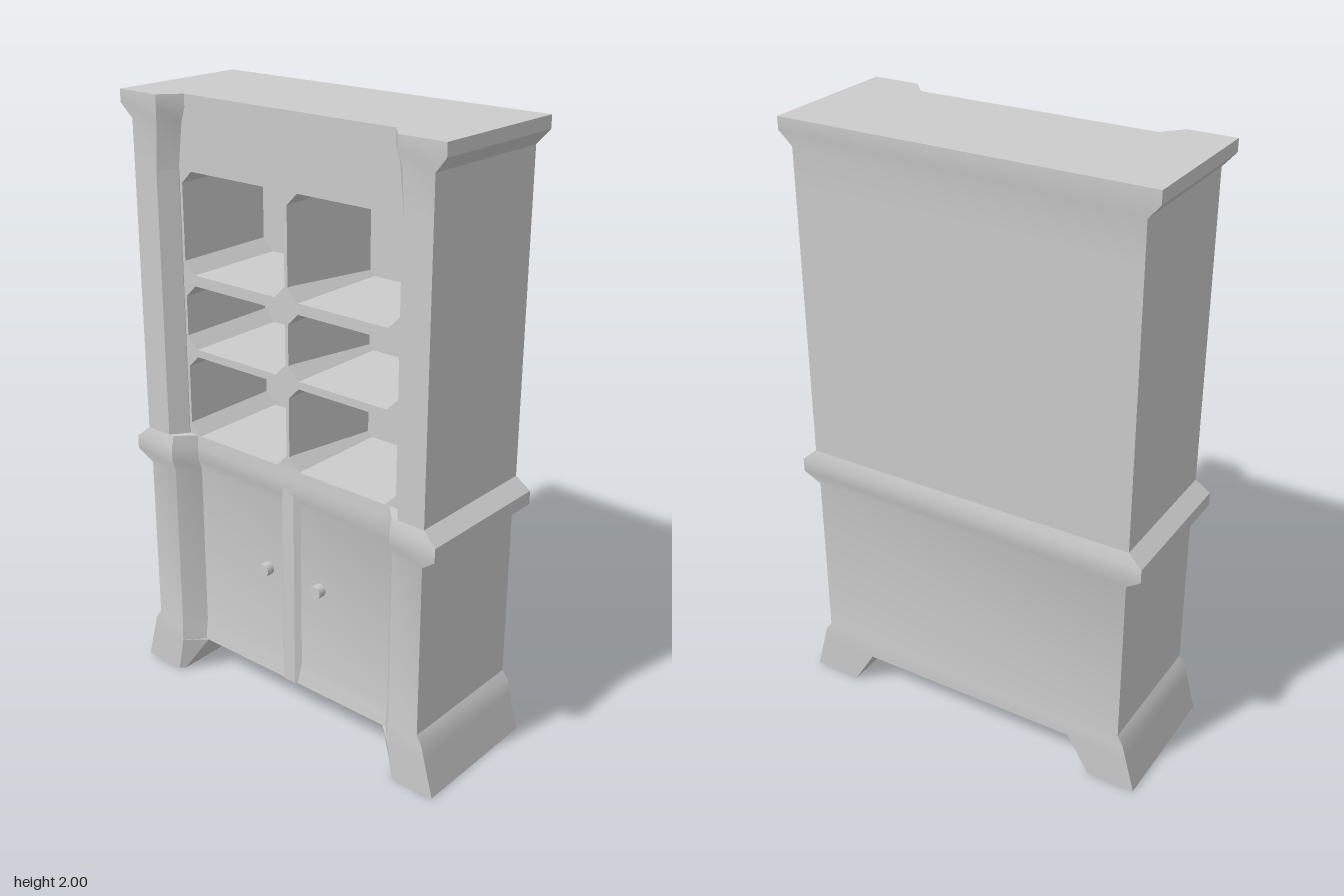
import * as THREE from 'three';
import { toCreasedNormals } from 'three/addons/utils/BufferGeometryUtils.js';

const material = new THREE.MeshStandardMaterial({ color: 0xcccccc });

function addPart(group, name, geometry) {
  const mesh = new THREE.Mesh(geometry, material);
  mesh.name = name;
  group.add(mesh);
  return mesh;
}

// Solid through plan outlines ([x, z] points) stacked at rising heights
function loft(levels) {
  const pos = [];
  const put = (y, p) => pos.push(p[0], y, p[1]);
  for (let k = 0; k < levels.length - 1; k++) {
    const { y: y0, plan: lo } = levels[k], { y: y1, plan: hi } = levels[k + 1];
    for (let i = 0; i < lo.length; i++) {
      const j = (i + 1) % lo.length;
      put(y0, lo[i]); put(y1, hi[i]); put(y1, hi[j]);
      put(y0, lo[i]); put(y1, hi[j]); put(y0, lo[j]);
    }
  }
  for (const [level, up] of [[levels[0], false], [levels.at(-1), true]]) {
    const pts = level.plan.map(p => new THREE.Vector2(...p));
    for (const [a, b, c] of THREE.ShapeUtils.triangulateShape(pts, [])) {
      const cross = pts[b].clone().sub(pts[a]).cross(pts[c].clone().sub(pts[a]));
      const order = (cross < 0) === up ? [a, b, c] : [a, c, b];
      order.forEach(i => put(level.y, level.plan[i]));
    }
  }
  const geo = new THREE.BufferGeometry();
  geo.setAttribute('position', new THREE.Float32BufferAttribute(pos, 3));
  return toCreasedNormals(geo, 0.5);
}

const mirror = plan => plan.map(([x, z]) => [-x, z]).reverse();

// Full-width outline: w half width, d half depth, a/b recess edges, f recess front
const bodyPlan = (w, d, a, b, f) => {
  const half = [[w, -d], [w, d], [a, d], [b, f]];
  return [...half, ...mirror(half)];
};

// Left part and its mirrored right twin
function addPair(group, name, levels) {
  addPart(group, name + 'Left', loft(levels));
  addPart(group, name + 'Right', loft(levels.map(({ y, plan }) => ({ y, plan: mirror(plan) }))));
}

export function createModel() {
  const group = new THREE.Group();

  // Flared side feet with an arch between them
  const footPlan = (w, a, b, f) => [[w, -0.235], [w, 0.235], [a, 0.235], [b, f], [b, -0.235]];
  addPair(group, 'foot', [
    { y: 0, plan: footPlan(0.625, 0.475, 0.46, 0.22) },
    { y: 0.125, plan: footPlan(0.592, 0.45, 0.385, 0.175) },
  ]);

  // Lower cupboard with waist moulding
  const lower = [
    [0.125, 0.592, 0.235, 0.175], [0.17, 0.58, 0.235, 0.17], [0.2, 0.56, 0.232, 0.166],
    [0.775, 0.56, 0.232, 0.166], [0.815, 0.612, 0.245, 0.18],
    [0.86, 0.612, 0.245, 0.18], [0.9, 0.565, 0.235, 0.178],
  ];
  addPart(group, 'lowerCupboard', loft(lower.map(([y, w, d, f]) =>
    ({ y, plan: bodyPlan(w, d, 0.45, 0.395, f) }))));

  // Raised stile between the two doors
  const stile = [[0.04, 0.15], [0.04, 0.166], [0.022, 0.18]];
  const stilePlan = [...stile, ...mirror(stile)];
  addPart(group, 'doorStile', loft([0.125, 0.83].map(y => ({ y, plan: stilePlan }))));

  // Door knobs
  for (const x of [-0.1, 0.12]) {
    const knob = addPart(group, 'doorKnob', new THREE.CylinderGeometry(0.022, 0.022, 0.04, 16));
    knob.rotation.x = Math.PI / 2;
    knob.position.set(x, 0.51, 0.175);
  }

  // Upper side posts
  const post = [[0.565, -0.235], [0.565, 0.235], [0.47, 0.235], [0.43, 0.18], [0.43, -0.235]];
  addPair(group, 'sidePost', [0.9, 1.77].map(y => ({ y, plan: post })));

  // Back panel
  addPart(group, 'backPanel', new THREE.BoxGeometry(0.88, 0.89, 0.055))
    .position.set(0, 1.335, -0.2075);

  // Shelf grid with six chamfered openings
  const grid = new THREE.Shape([[-0.44, 0.89], [0.44, 0.89], [0.44, 1.78], [-0.44, 1.78]]
    .map(p => new THREE.Vector2(...p)));
  const c = 0.04, x0 = 0.006, x1 = 0.42;
  const rows = [[0.9, 1.175], [1.2, 1.41], [1.445, 1.77]];
  for (const [y0, y1] of rows) {
    for (const s of [1, -1]) {
      grid.holes.push(new THREE.Path([
        [x0 + c, y0], [x1 - c, y0], [x1, y0 + c], [x1, y1 - c],
        [x1 - c, y1], [x0 + c, y1], [x0, y1 - c], [x0, y0 + c],
      ].map(([x, y]) => new THREE.Vector2(s * x, y))));
    }
  }
  const gridGeo = new THREE.ExtrudeGeometry(grid, { depth: 0.363, bevelEnabled: false });
  addPart(group, 'shelfGrid', gridGeo.translate(0, 0, -0.185));

  // Divider widening towards the back
  const wedge = [[0.03, -0.19], [0.006, 0.16]];
  const wedgePlan = [...wedge, ...mirror(wedge)];
  for (const [y0, y1] of rows) {
    addPart(group, 'centreDivider', loft([y0, y1].map(y => ({ y, plan: wedgePlan }))));
  }

  // Frieze and cornice
  const top = [
    [1.77, 0.565, 0.235, 0.47, 0.43], [1.915, 0.565, 0.235, 0.46, 0.41],
    [1.96, 0.605, 0.243, 0.45, 0.395], [2, 0.605, 0.243, 0.45, 0.395],
  ];
  addPart(group, 'cornice', loft(top.map(([y, w, d, a, b]) =>
    ({ y, plan: bodyPlan(w, d, a, b, 0.18) }))));

  return group;
}
